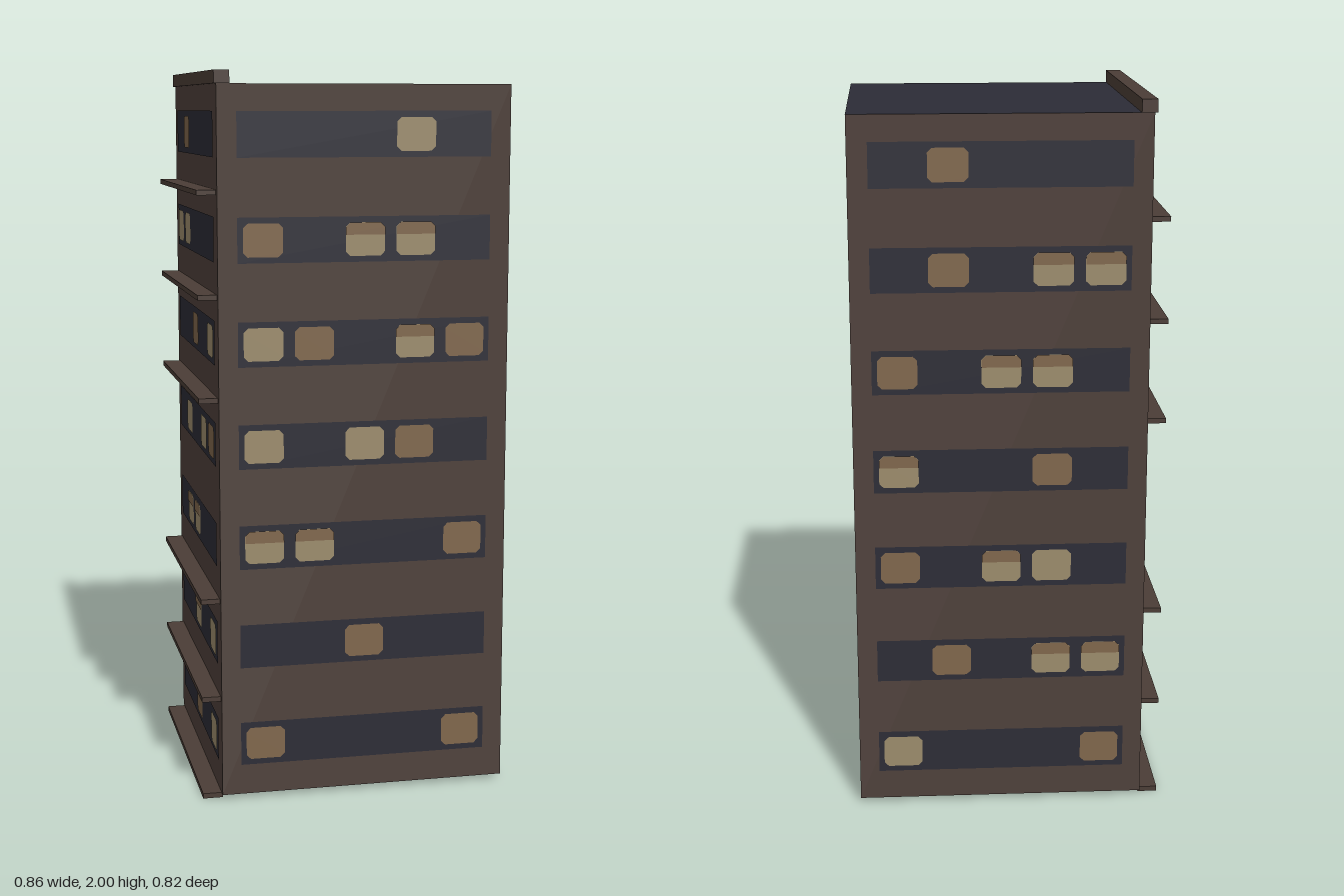
import * as THREE from 'three';

const mat = (name, color) => {
  const m = new THREE.MeshStandardMaterial({ color });
  m.name = name;
  return m;
};

export function createModel() {
  const wall = mat('brown wall', 0x4e403a);
  const trim = mat('brown trim', 0x4b3d36);
  const slate = mat('dark slate', 0x2c2c36);
  const pale = mat('pale lit window', 0x9c8c6c);
  const amber = mat('amber lit window', 0x80674c);

  const FLOORS = 7, STEP = 0.279, FIRST = 0.159, PITCH = 0.14;
  const group = new THREE.Group();
  group.name = 'apartmentTower';

  const box = (name, material, x0, x1, y0, y1, z) => {
    const m = new THREE.Mesh(new THREE.BoxGeometry(x1 - x0, y1 - y0, 2 * z), material);
    m.position.set((x0 + x1) / 2, (y0 + y1) / 2, 0);
    m.name = name;
    group.add(m);
  };

  // Body with a dark roof, parapet on the balcony side
  box('body', [wall, wall, slate, wall, wall, wall], -0.378, 0.428, 0.013, 1.965, 0.404);
  box('parapet', trim, -0.385, -0.343, 1.965, 2, 0.409);

  // Ledges under the side window bands; one floor has none
  for (let k = 0; k < FLOORS; k++) {
    if (k !== 3) box('ledge', trim, -0.43, -0.375, k * STEP, k * STEP + 0.014, 0.385);
  }

  // Window outline with clipped corners
  const w = 0.054, h = 0.045, c = 0.012;
  const windowGeo = new THREE.ShapeGeometry(new THREE.Shape([
    [-w + c, -h], [w - c, -h], [w, -h + c], [w, h - c],
    [w - c, h], [-w + c, h], [-w, h - c], [-w, -h + c],
  ].map(([x, y]) => new THREE.Vector2(x, y))));
  // Upper part of a window, covered by a blind
  const blindGeo = new THREE.ShapeGeometry(new THREE.Shape([
    [-w, 0.012], [w, 0.012], [w, h - c], [w - c, h], [-w + c, h], [-w, h - c],
  ].map(([x, y]) => new THREE.Vector2(x, y))));

  // One facade: rows run from the top floor down, columns from left to right.
  // p = pale, b = pale with a blind, a = amber, . = unlit
  const facade = (name, rows, bandWidth) => {
    const g = new THREE.Group();
    g.name = name;
    const bandGeo = new THREE.PlaneGeometry(bandWidth, 0.122);
    const plate = (partName, geo, material, x, y, z) => {
      const m = new THREE.Mesh(geo, material);
      m.position.set(x, y, z);
      m.name = partName;
      g.add(m);
    };
    rows.forEach((row, r) => {
      const y = FIRST + (FLOORS - 1 - r) * STEP;
      plate('windowBand', bandGeo, slate, 0, y, 0.002);
      [...row].forEach((kind, i) => {
        if (kind === '.') return;
        const x = (i - 2) * PITCH;
        plate('litWindow', windowGeo, kind === 'a' ? amber : pale, x, y, 0.004);
        if (kind === 'b') plate('blind', blindGeo, amber, x, y, 0.006);
      });
    });
    group.add(g);
    return g;
  };

  const front = facade('frontWindows',
    ['...p.', 'a.bb.', 'pa.ba', 'p.pa.', 'bb..a', '..a..', 'a...a'], 0.698);
  front.position.set(0.024, 0, 0.404);

  const back = facade('backWindows',
    ['.a...', '.a.bb', 'a.bb.', 'b..a.', 'a.bp.', '.a.bb', 'p...a'], 0.698);
  back.position.set(0.024, 0, -0.404);
  back.rotation.y = Math.PI;

  const side = facade('sideWindows',
    ['.a...', 'pp...', '..a.p', '.p.pa', '.bb..', '..b.p', '..a.p'], 0.7);
  side.position.set(-0.378, 0, 0);
  side.rotation.y = -Math.PI / 2;

  return group;
}
